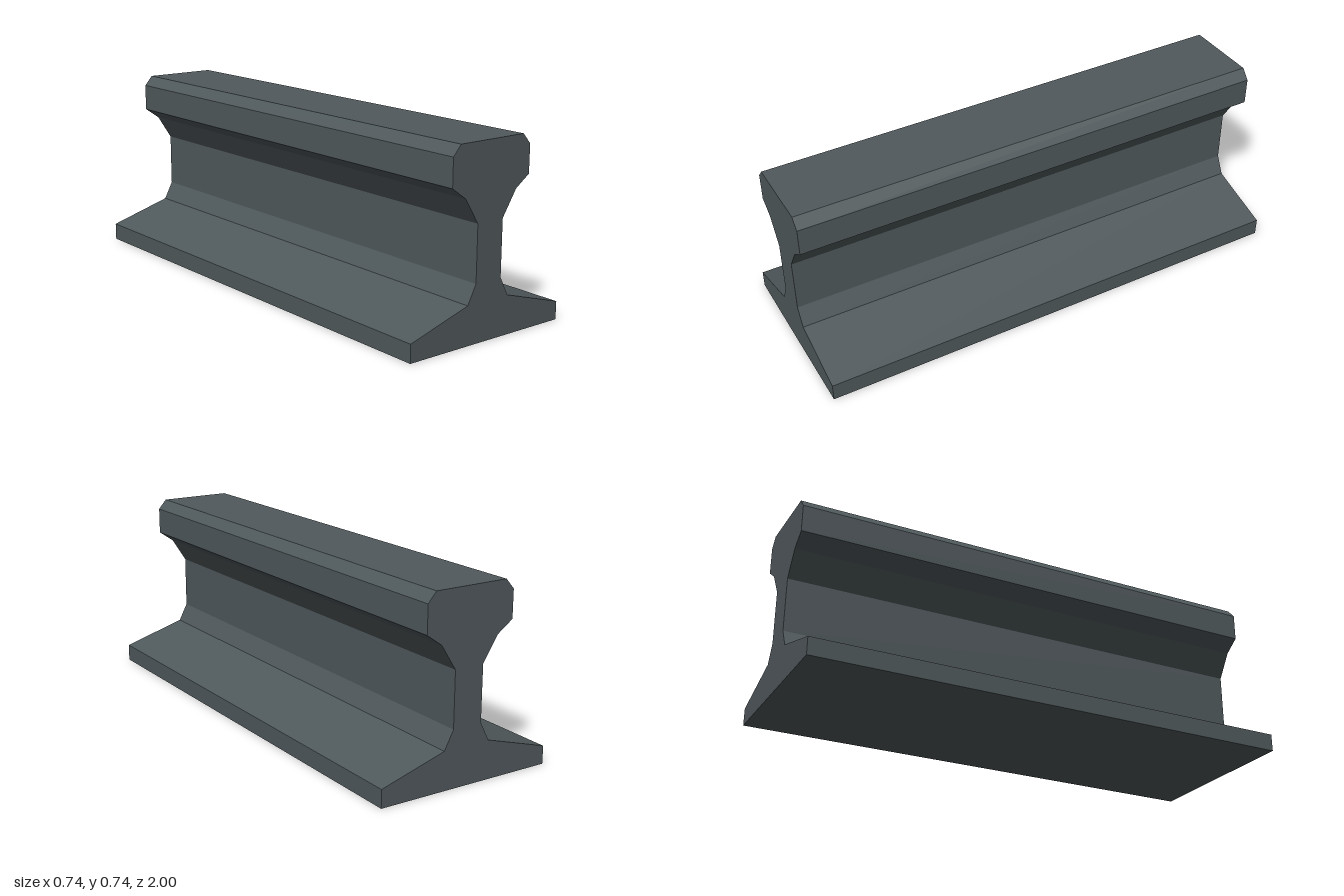
import * as THREE from 'three';

const LENGTH = 2;

// Right half of the rail's cross-section, from the foot up to the running surface
const HALF_PROFILE = [
  [0.369, 0], [0.369, 0.071],       // foot edge
  [0.1, 0.151], [0.062, 0.224],     // foot slope and lower fillet
  [0.062, 0.443], [0.125, 0.541],   // web and upper fillet
  [0.189, 0.586], [0.189, 0.696],   // head side
  [0.154, 0.736],                   // chamfered head top
];

export function createModel() {
  const model = new THREE.Group();
  model.name = 'railSection';

  const steel = new THREE.MeshStandardMaterial({ color: 0x50595c });
  steel.name = 'dark steel';

  // Mirror the half profile into a closed outline
  const mirrored = HALF_PROFILE.map(([x, y]) => [-x, y]).reverse();
  const outline = [...HALF_PROFILE, ...mirrored].map(([x, y]) => new THREE.Vector2(x, y));

  // Sweep the outline straight along z
  const geometry = new THREE.ExtrudeGeometry(new THREE.Shape(outline), {
    depth: LENGTH,
    bevelEnabled: false,
  });
  geometry.translate(0, 0, -LENGTH / 2);

  const rail = new THREE.Mesh(geometry, steel);
  rail.name = 'rail';
  model.add(rail);
  return model;
}
